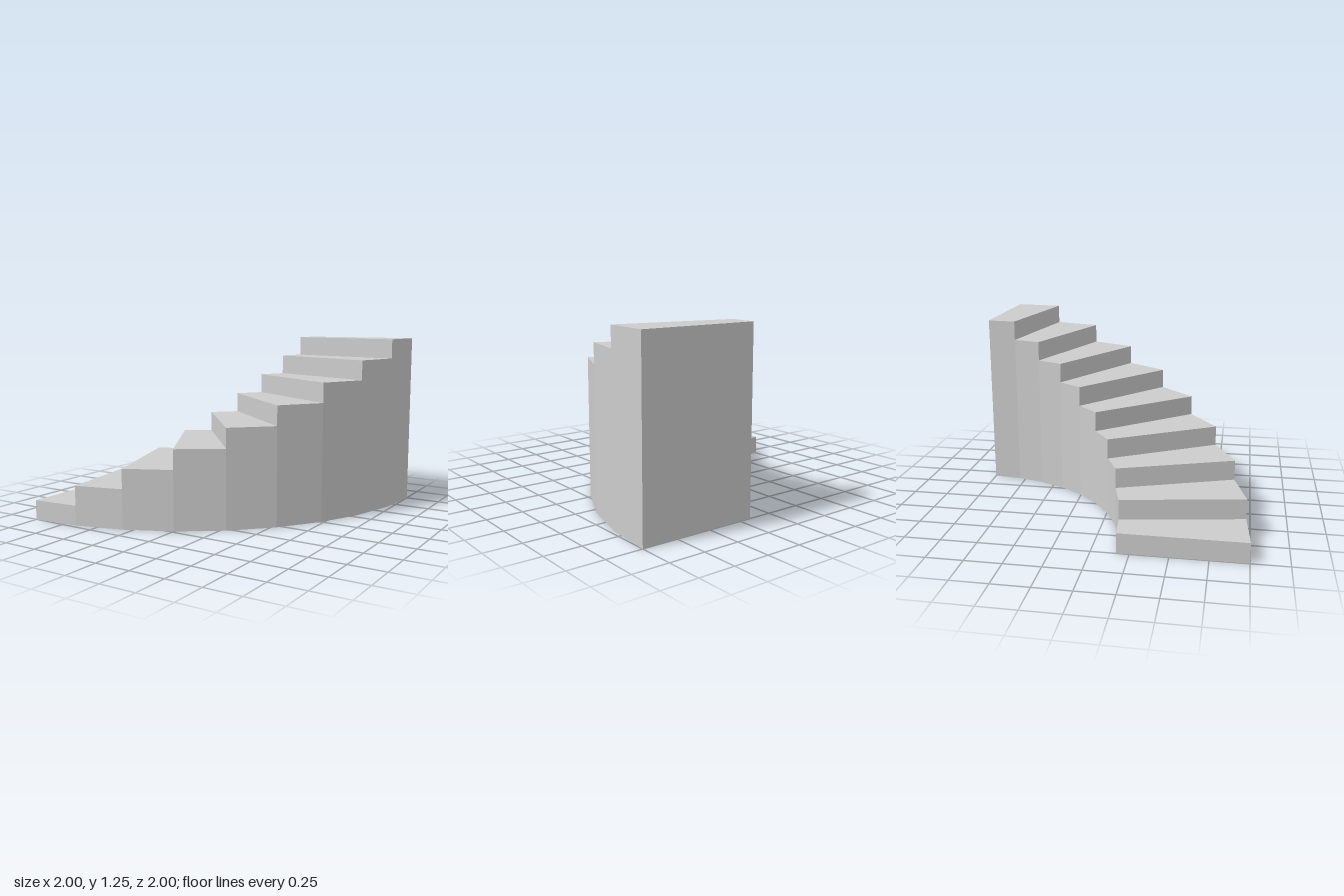
import * as THREE from 'three';

const STEPS = 9;
const INNER = 1.167, OUTER = 2;
const RISE = 1.25 / STEPS;
const TURN = Math.PI / 2 / STEPS;

// Point on the quarter turn, whose pivot is the back right corner
const point = (r, a, y) => [-1 + r * Math.sin(a), y, -1 + r * Math.cos(a)];

// Solid wedge from the ground to its tread, open where the next step covers it
function stepGeometry(i) {
  const a = i * TURN, b = a + TURN;
  const low = i * RISE, top = low + RISE;
  const positions = [];
  const quad = (p, q, r, s) => positions.push(...p, ...q, ...r, ...p, ...r, ...s);

  // tread and underside
  quad(point(INNER, a, top), point(OUTER, a, top), point(OUTER, b, top), point(INNER, b, top));
  quad(point(INNER, b, 0), point(OUTER, b, 0), point(OUTER, a, 0), point(INNER, a, 0));
  // riser
  quad(point(INNER, a, low), point(OUTER, a, low), point(OUTER, a, top), point(INNER, a, top));
  // outer and inner side walls
  quad(point(OUTER, a, 0), point(OUTER, b, 0), point(OUTER, b, top), point(OUTER, a, top));
  quad(point(INNER, b, 0), point(INNER, a, 0), point(INNER, a, top), point(INNER, b, top));
  // back end wall under the last tread
  if (i === STEPS - 1) {
    quad(point(OUTER, b, 0), point(INNER, b, 0), point(INNER, b, top), point(OUTER, b, top));
  }

  const geometry = new THREE.BufferGeometry();
  geometry.setAttribute('position', new THREE.Float32BufferAttribute(positions, 3));
  geometry.computeVertexNormals();
  return geometry;
}

export function createModel() {
  const stairs = new THREE.Group();
  stairs.name = 'curvedStairs';
  const material = new THREE.MeshStandardMaterial({ color: 0xcccccc, flatShading: true });
  for (let i = 0; i < STEPS; i++) {
    const step = new THREE.Mesh(stepGeometry(i), material);
    step.name = `step${i + 1}`;
    stairs.add(step);
  }
  return stairs;
}
